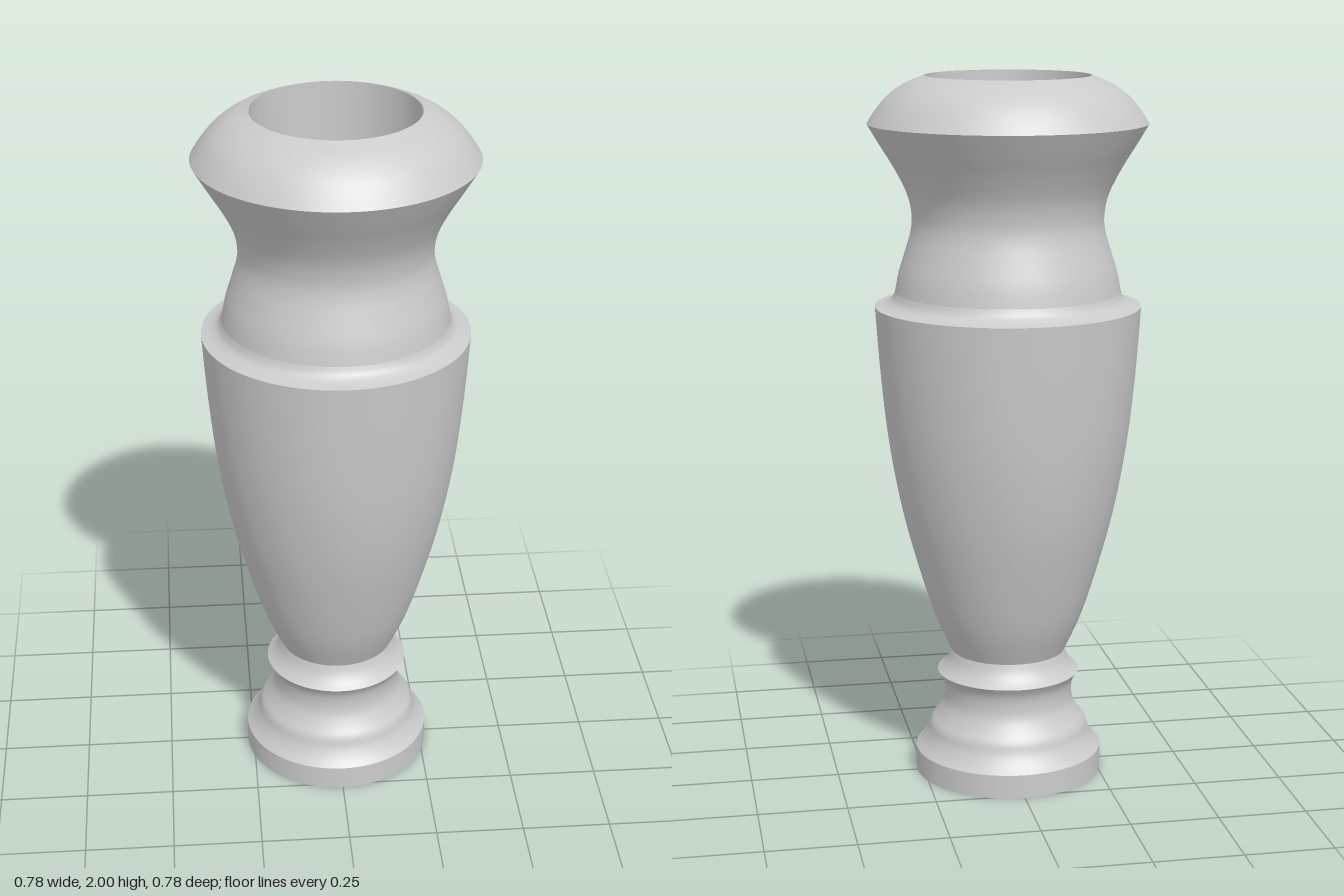
import * as THREE from 'three';

const SEGMENTS = 80;
const material = new THREE.MeshStandardMaterial({ color: 0xcccccc });

// Revolves a profile of [radius, height] points; curved profiles are splined.
function turned(name, profile, samples = 0) {
  let points = profile.map(([r, y]) => new THREE.Vector2(r, y));
  if (samples) points = new THREE.SplineCurve(points).getPoints(samples);
  const mesh = new THREE.Mesh(new THREE.LatheGeometry(points, SEGMENTS), material);
  mesh.name = name;
  return mesh;
}

export function createModel() {
  const group = new THREE.Group();
  group.name = 'vase';

  // Each part ends at a sharp edge of the outline, so creases stay crisp
  group.add(
    turned('baseUnderside', [[0, 0], [0.268, 0]]),
    turned('basePlinth', [[0.268, 0], [0.268, 0.068]]),
    turned('baseMoulding', [
      [0.268, 0.068], [0.25, 0.088], [0.234, 0.115], [0.224, 0.145], [0.205, 0.172],
      [0.188, 0.205], [0.184, 0.24], [0.189, 0.272], [0.204, 0.298],
    ], 32),
    turned('stemCollar', [[0.204, 0.298], [0.187, 0.313], [0.172, 0.335], [0.163, 0.36]], 10),
    turned('body', [
      [0.163, 0.36], [0.21, 0.465], [0.255, 0.605], [0.3, 0.775],
      [0.335, 0.965], [0.357, 1.16], [0.372, 1.365],
    ], 32),
    turned('shoulder', [
      [0.372, 1.365], [0.345, 1.372], [0.325, 1.385], [0.315, 1.405],
    ], 10),
    turned('neck', [
      [0.315, 1.405], [0.304, 1.46], [0.284, 1.525], [0.27, 1.575], [0.267, 1.62],
      [0.28, 1.68], [0.315, 1.75], [0.352, 1.81], [0.388, 1.87],
    ], 32),
    turned('rim', [
      [0.388, 1.87], [0.361, 1.91], [0.33, 1.945], [0.285, 1.977], [0.229, 2],
    ], 20),
    turned('boreWall', [[0.229, 2], [0.229, 0.9]]),
    turned('boreFloor', [[0.229, 0.9], [0, 0.9]]),
  );
  return group;
}
